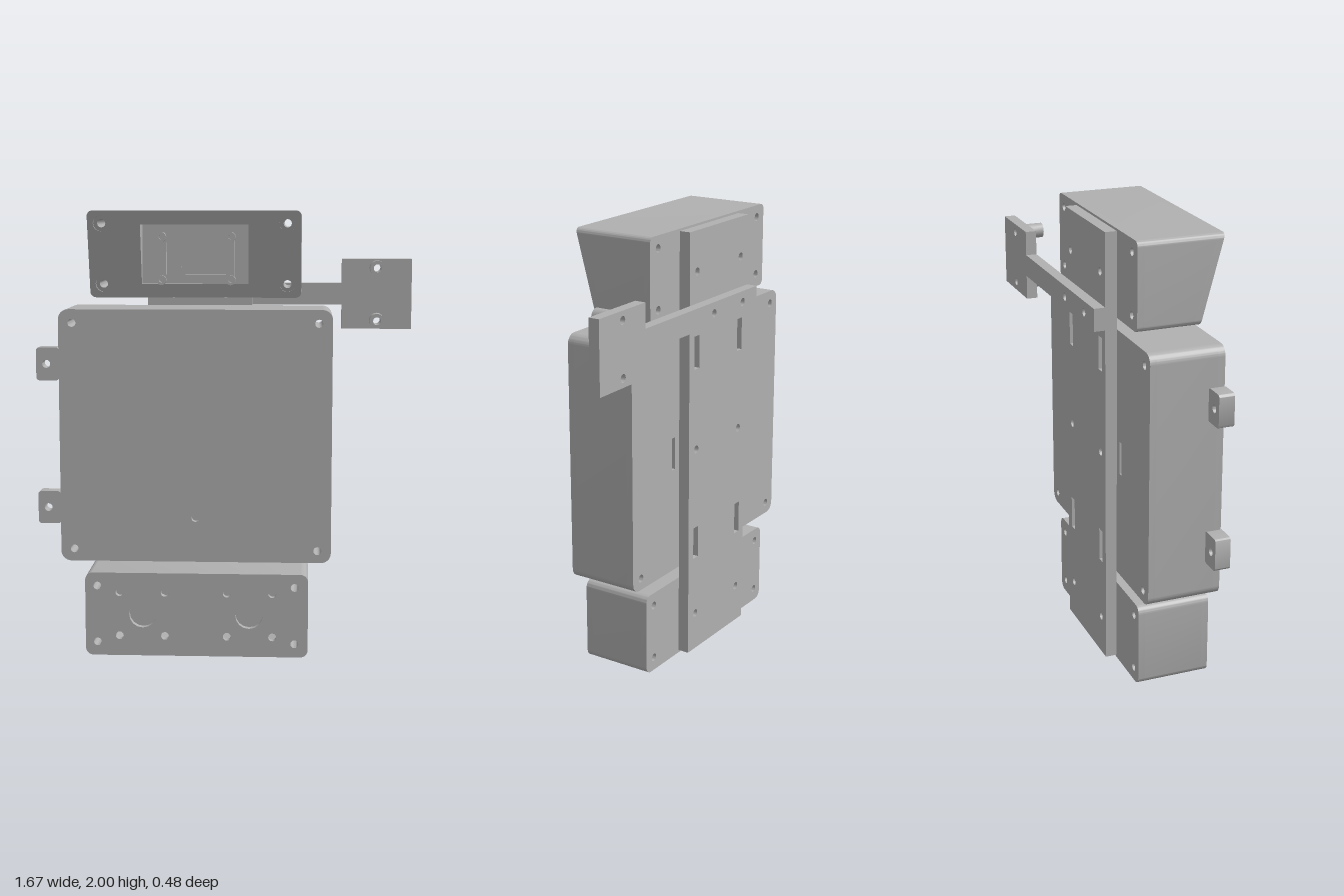
import * as THREE from 'three';
import { toCreasedNormals } from 'three/addons/utils/BufferGeometryUtils.js';

const gray = new THREE.MeshStandardMaterial({ color: 0xb0b0b0 });
gray.name = 'matte gray plastic';

// Outline helpers, all drawn in the front (x, y) plane
function rect(x0, x1, y0, y1, r = 0, Type = THREE.Shape) {
  const s = new Type();
  if (!r) {
    s.moveTo(x0, y0); s.lineTo(x1, y0); s.lineTo(x1, y1); s.lineTo(x0, y1); s.closePath();
    return s;
  }
  s.moveTo(x0 + r, y0);
  s.lineTo(x1 - r, y0); s.absarc(x1 - r, y0 + r, r, -Math.PI / 2, 0);
  s.lineTo(x1, y1 - r); s.absarc(x1 - r, y1 - r, r, 0, Math.PI / 2);
  s.lineTo(x0 + r, y1); s.absarc(x0 + r, y1 - r, r, Math.PI / 2, Math.PI);
  s.lineTo(x0, y0 + r); s.absarc(x0 + r, y0 + r, r, Math.PI, Math.PI * 1.5);
  return s;
}
const circle = (x, y, r = 0.018, Type = THREE.Path) => new Type().absarc(x, y, r, 0, Math.PI * 2);
const grid = (xs, ys) => xs.flatMap(x => ys.map(y => [x, y]));
const drill = (pts, r) => pts.map(([x, y]) => circle(x, y, r));
const slot = (x, y, w, h) => rect(x - w / 2, x + w / 2, y - h / 2, y + h / 2, 0, THREE.Path);

// Extrudes a shape from z0 to z1; either end may be a function of y
function slab(parent, name, shape, holes, z0, z1) {
  shape.holes.push(...holes);
  const geo = new THREE.ExtrudeGeometry(shape, { depth: 1, bevelEnabled: false, curveSegments: 8 });
  const p = geo.attributes.position;
  const at = (z, y) => (typeof z === 'function' ? z(y) : z);
  for (let i = 0; i < p.count; i++) {
    const y = p.getY(i);
    p.setZ(i, p.getZ(i) > 0.5 ? at(z1, y) : at(z0, y));
  }
  const mesh = new THREE.Mesh(toCreasedNormals(geo, 0.6), gray);
  mesh.name = name;
  parent.add(mesh);
  return mesh;
}

const BACK = -0.14, FRONT = 0.19, WALL = 0.03;

// Hollow box: back panel, side walls, and tubes around the corner screws
function shell(name, [x0, x1, y0, y1], r, screws, backHoles, zFront) {
  const g = new THREE.Group();
  g.name = name;
  slab(g, 'backPanel', rect(x0, x1, y0, y1, r), [...drill(screws), ...backHoles], BACK, BACK + WALL);
  slab(g, 'sideWalls', rect(x0, x1, y0, y1, r),
    [rect(x0 + WALL, x1 - WALL, y0 + WALL, y1 - WALL, 0.01, THREE.Path)], BACK + WALL, zFront);
  for (const [x, y] of screws) {
    slab(g, 'screwTube', circle(x, y, 0.032, THREE.Shape), [circle(x, y)], BACK + WALL, zFront);
  }
  return g;
}

export function createModel() {
  const model = new THREE.Group();
  model.name = 'modularEnclosure';
  const plateX = [-0.315, 0.045];

  // Main box
  const mainDims = [-0.74, 0.47, 0.44, 1.57];
  const mainScrews = grid([-0.68, 0.41], [0.495, 1.51]);
  const main = shell('mainBox', mainDims, 0.045, mainScrews,
    [slot(-0.42, 1, 0.025, 0.15), slot(0.15, 1, 0.025, 0.15), ...drill(grid(plateX, [1]))], FRONT - WALL);
  slab(main, 'frontCover', rect(...mainDims, 0.045),
    drill([...mainScrews, [-0.135, 0.64]]), FRONT - WALL, FRONT);
  for (const y of [0.683, 1.328]) {
    slab(main, 'sideTab', rect(-0.84, -0.738, y - 0.073, y + 0.073, 0.014), [circle(-0.795, y)], 0.12, FRONT);
  }
  model.add(main);

  // Lower box with two round sensor openings
  const lowDims = [-0.635, 0.37, 0.003, 0.385];
  const lowScrews = grid([-0.58, 0.31], [0.065, 0.325]);
  const lower = shell('lowerBox', lowDims, 0.035, lowScrews, drill(grid(plateX, [0.195])), FRONT - WALL);
  slab(lower, 'frontCover', rect(...lowDims, 0.035), [
    ...drill(lowScrews),
    ...drill(grid([-0.48, -0.275, 0.005, 0.21], [0.095, 0.295])),
    ...drill(grid([-0.375, 0.105], [0.195]), 0.062),
  ], FRONT - WALL, FRONT);
  model.add(lower);

  // Upper box with a front leaning forward
  const slope = d => y => 0.14 + (y - 1.62) * 0.27 - d;
  const topDims = [-0.6, 0.33, 1.62, 2];
  const topScrews = grid([-0.54, 0.27], [1.68, 1.945]);
  const upper = shell('upperBox', topDims, 0.025, topScrews, drill(grid(plateX, [1.81])), slope(WALL));
  const pocket = () => rect(-0.37, 0.1, 1.68, 1.94, 0, THREE.Path);
  slab(upper, 'innerFrontPanel', rect(...topDims, 0.025), [...drill(topScrews), pocket()], slope(WALL), slope(0.015));
  slab(upper, 'outerFrontPanel', rect(...topDims, 0.025),
    [...drill(topScrews, 0.035), pocket()], slope(0.015), slope(0));

  // Upright pocket sunk into the leaning front
  slab(upper, 'pocketWalls', rect(-0.385, 0.115, 1.665, 1.955), [pocket()], 0.1, slope(0.01));
  slab(upper, 'pocketFloor', rect(-0.37, 0.1, 1.68, 1.94),
    [rect(-0.265, 0, 1.72, 1.86, 0, THREE.Path)], 0.1, 0.125);
  slab(upper, 'pocketRim', rect(-0.3, 0.035, 1.69, 1.895, 0.01),
    [rect(-0.265, 0, 1.72, 1.86, 0, THREE.Path)], 0.125, 0.14);
  slab(upper, 'windowPlate', rect(-0.28, 0.015, 1.705, 1.875),
    [rect(-0.2, -0.075, 1.75, 1.83, 0, THREE.Path)], 0.085, 0.1);
  for (const [x, y] of grid([-0.285, 0.02], [1.697, 1.885])) {
    slab(upper, 'pocketPost', circle(x, y, 0.022, THREE.Shape), [circle(x, y, 0.01)], 0.125, 0.158);
  }
  model.add(upper);

  // Spine plate joining the boxes
  slab(model, 'spinePlate', rect(-0.375, 0.105, 0.015, 1.99), [
    ...drill(grid(plateX, [0.195, 1, 1.81])),
    ...drill(grid([-0.255, -0.015], [1.62])),
    ...grid(plateX, [0.55, 1.45]).map(([x, y]) => slot(x, y, 0.04, 0.15)),
  ], -0.192, BACK);

  // Side arm with a square end and two standoffs
  const arm = new THREE.Group();
  arm.name = 'sideArm';
  const outline = new THREE.Shape([
    [-0.375, 1.57], [0.515, 1.57], [0.515, 1.46], [0.835, 1.46],
    [0.835, 1.78], [0.515, 1.78], [0.515, 1.67], [-0.375, 1.67],
  ].map(([x, y]) => new THREE.Vector2(x, y)));
  const ends = grid([0.675], [1.5, 1.74]);
  slab(arm, 'armPlate', outline, drill([[-0.255, 1.62], [-0.015, 1.62], ...ends]), -0.242, -0.192);
  for (const [x, y] of ends) {
    slab(arm, 'standoff', circle(x, y, 0.034, THREE.Shape), [circle(x, y)], -0.192, -0.112);
  }
  model.add(arm);

  return model;
}
